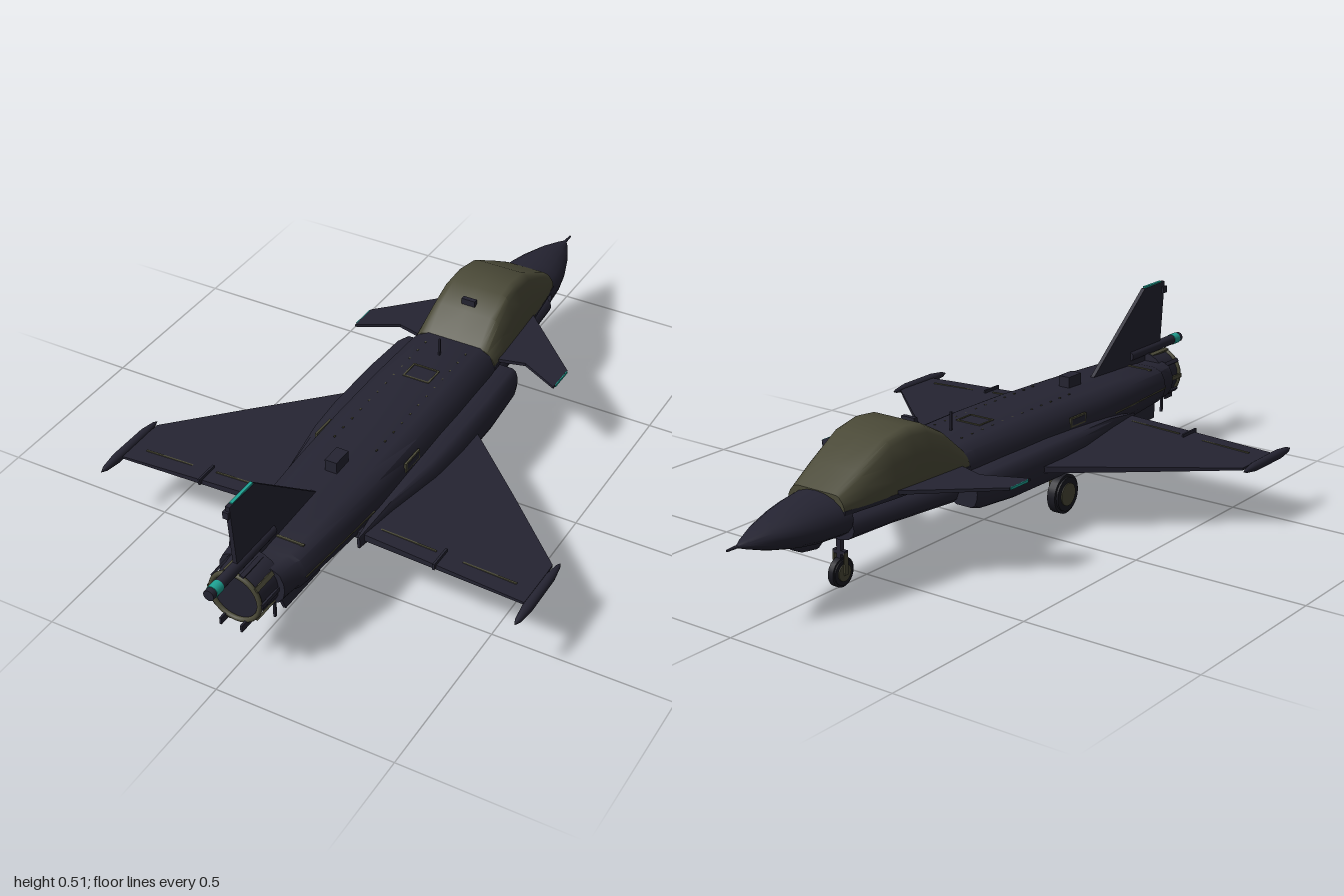
import * as THREE from 'three';
import { toCreasedNormals } from 'three/addons/utils/BufferGeometryUtils.js';

export function createModel() {
  const root = new THREE.Group();
  root.name = 'jetAircraft';
  const mat = (name, color) => {
    const m = new THREE.MeshStandardMaterial({ color });
    m.name = name;
    return m;
  };
  const navy = mat('dark navy', 0x252432);
  const olive = mat('olive', 0x4a4937);
  const teal = mat('teal', 0x1fa596);
  const tyreMat = mat('tyre black', 0x1b1b23);

  const add = (name, geo, material, x = 0, y = 0, z = 0) => {
    const mesh = new THREE.Mesh(geo, material);
    mesh.name = name;
    mesh.position.set(x, y, z);
    root.add(mesh);
    return mesh;
  };
  const box = (name, m, w, h, d, x, y, z) => add(name, new THREE.BoxGeometry(w, h, d), m, x, y, z);
  // cylinder along z; r0 is the forward radius, r1 the aft radius
  const rod = (name, m, r0, r1, z0, z1, x, y, open = false) =>
    add(name, new THREE.CylinderGeometry(r1, r0, z1 - z0, 20, 1, open).rotateX(Math.PI / 2), m, x, y, (z0 + z1) / 2);

  // half profiles (u of half width, v of height), bottom to top
  const bodyProfile = [[0, 0], [0.55, 0], [0.8, 0.09], [0.95, 0.28], [1, 0.5], [0.97, 0.7], [0.86, 0.9], [0.62, 1], [0, 1]];
  const roundProfile = Array.from({ length: 11 }, (_, i) => {
    const a = (i / 10) * Math.PI;
    return [Math.sin(a), 0.5 - Math.cos(a) / 2];
  });
  const canopyProfile = [[0, 0], [1, 0], [0.99, 0.25], [0.93, 0.55], [0.82, 0.86], [0.74, 0.96], [0.62, 1], [0, 1]];

  // capped loft through sections [z, halfWidth, yBottom, yTop]
  function loft(sections, profile, cx = 0) {
    const full = [...profile, ...profile.slice(1, -1).reverse().map(([u, v]) => [-u, v])];
    const rings = sections.map(([z, w, y0, y1]) => full.map(([u, v]) => [cx + u * w, y0 + v * (y1 - y0), z]));
    const n = full.length, pos = [];
    const tri = (...p) => p.forEach((q) => pos.push(...q));
    for (let i = 0; i + 1 < rings.length; i++) {
      for (let j = 0; j < n; j++) {
        const k = (j + 1) % n;
        tri(rings[i][j], rings[i][k], rings[i + 1][k]);
        tri(rings[i][j], rings[i + 1][k], rings[i + 1][j]);
      }
    }
    const last = rings.length - 1;
    const mid = (i) => [cx, (sections[i][2] + sections[i][3]) / 2, sections[i][0]];
    for (let j = 0; j < n; j++) {
      const k = (j + 1) % n;
      tri(mid(0), rings[0][k], rings[0][j]);
      tri(mid(last), rings[last][j], rings[last][k]);
    }
    const g = new THREE.BufferGeometry();
    g.setAttribute('position', new THREE.Float32BufferAttribute(pos, 3));
    return toCreasedNormals(g, 0.7);
  }

  // flat plate from an outline, thickness centred
  function plate(points, thickness) {
    const shape = new THREE.Shape(points.map(([a, b]) => new THREE.Vector2(a, b)));
    return new THREE.ExtrudeGeometry(shape, { depth: thickness, bevelEnabled: false }).translate(0, 0, -thickness / 2);
  }
  // horizontal surface: outline in (x, z), thinning and sloping outward by rule
  function surface(points, thickness, s, yAt, thinAt) {
    const g = plate(points.map(([x, z]) => [x * s, z]), thickness).rotateX(Math.PI / 2);
    const p = g.attributes.position;
    for (let i = 0; i < p.count; i++) {
      const x = Math.abs(p.getX(i));
      p.setY(i, p.getY(i) * thinAt(x) + yAt(x));
    }
    g.computeVertexNormals();
    return g;
  }
  // upright surface: outline in (z, y)
  const upright = (points, thickness) => plate(points.map(([z, y]) => [-z, y]), thickness).rotateY(Math.PI / 2);

  // fuselage: nose, low cockpit tub, then the main body
  add('nose', loft([[-0.965, 0.004, 0.218, 0.226], [-0.94, 0.02, 0.208, 0.234], [-0.88, 0.048, 0.187, 0.252],
    [-0.8, 0.076, 0.168, 0.268], [-0.74, 0.09, 0.16, 0.277], [-0.66, 0.1, 0.157, 0.285]], roundProfile), navy);
  add('cockpitTub', loft([[-0.66, 0.1, 0.157, 0.221], [-0.5, 0.11, 0.156, 0.221], [-0.26, 0.122, 0.142, 0.221]], bodyProfile), navy);
  add('fuselage', loft([[-0.27, 0.128, 0.142, 0.287], [-0.2, 0.135, 0.136, 0.297], [0, 0.14, 0.132, 0.299], [0.2, 0.14, 0.133, 0.297],
    [0.4, 0.136, 0.145, 0.29], [0.55, 0.128, 0.155, 0.285], [0.75, 0.113, 0.165, 0.277], [0.76, 0.104, 0.165, 0.275],
    [0.82, 0.095, 0.165, 0.275]], bodyProfile), navy);
  rod('pitotProbe', navy, 0.003, 0.005, -1, -0.95, 0, 0.222);
  add('chinSensor', loft([[-0.78, 0.01, 0.155, 0.18], [-0.75, 0.03, 0.14, 0.19], [-0.71, 0.035, 0.135, 0.19],
    [-0.66, 0.015, 0.155, 0.18]], roundProfile), navy);

  // canopy and its frame
  add('canopy', loft([[-0.685, 0.092, 0.246, 0.284], [-0.61, 0.105, 0.246, 0.328], [-0.51, 0.114, 0.246, 0.384], [-0.43, 0.119, 0.246, 0.398],
    [-0.37, 0.122, 0.246, 0.391], [-0.3, 0.126, 0.246, 0.353], [-0.23, 0.128, 0.246, 0.29]], canopyProfile), olive);
  add('canopyFrame', loft([[-0.685, 0.094, 0.236, 0.247], [-0.5, 0.116, 0.236, 0.247], [-0.23, 0.131, 0.236, 0.247]],
    [[0, 0], [1, 0], [1, 1], [0, 1]]), navy);
  box('seat', navy, 0.08, 0.03, 0.08, 0, 0.225, -0.42);
  box('canopyHandle', navy, 0.042, 0.018, 0.014, 0, 0.372, -0.32);

  // exhaust nozzle with olive rim and dark inner disc
  rod('nozzle', navy, 0.08, 0.07, 0.8, 0.89, 0, 0.22);
  add('nozzleRim', new THREE.TorusGeometry(0.07, 0.007, 8, 28), olive, 0, 0.22, 0.893);
  for (let i = 0; i < 10; i++) {
    const a = (i / 10) * Math.PI * 2;
    const rib = box('nozzleRib', i % 2 ? olive : navy, 0.012, 0.006, 0.09, Math.cos(a) * 0.077, 0.22 + Math.sin(a) * 0.077, 0.85);
    rib.rotation.z = a + Math.PI / 2;
  }

  // tail fin, teal tip and rear pod
  add('tailFin', upright([[0.5, 0.27], [0.53, 0.29], [0.79, 0.5], [0.9, 0.503], [0.885, 0.32], [0.86, 0.27]], 0.012), navy);
  box('finTip', teal, 0.009, 0.005, 0.09, 0, 0.503, 0.84);
  rod('finPod', navy, 0.015, 0.015, 0.72, 1, 0, 0.305);
  rod('finPodBand', teal, 0.0165, 0.0165, 0.957, 0.985, 0, 0.305);
  box('finSensor', navy, 0.016, 0.02, 0.02, -0.004, 0.478, 0.895);

  // spine details
  box('spineBox', navy, 0.035, 0.035, 0.06, 0, 0.305, 0.41);
  box('antenna', navy, 0.005, 0.055, 0.006, 0, 0.322, -0.145);
  box('tailBand', olive, 0.17, 0.004, 0.007, 0, 0.279, 0.71);
  for (const k of [-1, 1]) {
    box('hatchSide', olive, 0.005, 0.004, 0.06, k * 0.038, 0.299, -0.04);
    box('hatchEnd', olive, 0.08, 0.004, 0.005, 0, 0.299, -0.04 + k * 0.03);
    for (let i = 0; i < 12; i++) box('rivet', olive, 0.004, 0.003, 0.006, k * 0.063, 0.2975, -0.18 + i * 0.045);
  }

  const wheel = (name, r, w, x, z) => {
    add(name + 'Tyre', new THREE.CylinderGeometry(r * 0.86, r * 0.86, w, 24).rotateZ(Math.PI / 2), tyreMat, x, r, z);
    add(name + 'Tread', new THREE.CylinderGeometry(r, r, w * 0.7, 24).rotateZ(Math.PI / 2), tyreMat, x, r, z);
    add(name + 'Hub', new THREE.CylinderGeometry(r * 0.58, r * 0.58, w + 0.006, 20).rotateZ(Math.PI / 2), olive, x, r, z);
  };

  // paired parts
  for (const s of [-1, 1]) {
    const side = s > 0 ? 'left' : 'right';
    add(side + 'Intake', loft([[-0.27, 0.045, 0.15, 0.23], [-0.24, 0.054, 0.142, 0.235], [-0.1, 0.062, 0.132, 0.237], [0.1, 0.062, 0.13, 0.237],
      [0.22, 0.054, 0.135, 0.232], [0.4, 0.022, 0.15, 0.22], [0.54, 0.004, 0.165, 0.2]], bodyProfile, s * 0.138), navy);

    const wingY = (x) => 0.193 - 0.037 * x;
    add(side + 'Wing', surface([[0.1, -0.05], [0.2, 0.005], [0.4, 0.185], [0.6, 0.37], [0.605, 0.53], [0.1, 0.52]],
      0.022, s, wingY, (x) => 1.1 - 1.3 * x), navy);
    for (const [x, w] of [[0.25, 0.16], [0.48, 0.15]])
      box('flapLine', olive, w, 0.004, 0.005, s * x, wingY(x) + 0.011 * (1.1 - 1.3 * x), 0.48).rotation.z = -s * 0.037;
    box('wingFence', navy, 0.006, 0.018, 0.07, s * 0.35, 0.187, 0.5);
    const pod = [[0, -0.13], [0.006, -0.115], [0.013, -0.07], [0.014, 0.06], [0.008, 0.11], [0, 0.13]];
    add(side + 'WingtipPod', new THREE.LatheGeometry(pod.map(([r, t]) => new THREE.Vector2(r, t)), 16).rotateX(Math.PI / 2),
      navy, s * 0.613, 0.17, 0.48);

    add(side + 'Canard', surface([[0.09, -0.53], [0.115, -0.505], [0.315, -0.31], [0.315, -0.22], [0.2, -0.28], [0.09, -0.25]],
      0.012, s, (x) => 0.251 - 0.014 * x, (x) => 1.1 - 1.6 * x), navy);
    box('canardTip', teal, 0.005, 0.007, 0.075, s * 0.315, 0.2466, -0.268);

    const ventral = add(side + 'VentralFin', upright([[0.53, 0.175], [0.61, 0.11], [0.77, 0.112], [0.79, 0.18]], 0.009), navy, s * 0.075);
    ventral.rotation.z = s * 0.15;

    // side panels and trim
    box('sidePanel', olive, 0.006, 0.028, 0.075, s * 0.135, 0.25, 0.255);
    box('sidePanelInset', navy, 0.008, 0.018, 0.062, s * 0.135, 0.25, 0.255);
    box('sideTrim', olive, 0.005, 0.004, 0.3, s * 0.123, 0.22, 0.6).rotation.y = -s * 0.07;
    box('tailProbe', navy, 0.006, 0.05, 0.008, s * 0.06, 0.145, 0.815);
    box('tailProbeAft', navy, 0.006, 0.02, 0.04, s * 0.03, 0.148, 0.9);

    // main landing gear
    wheel(side + 'Main', 0.057, 0.036, s * 0.14, 0.178);
    box(side + 'MainStrut', olive, 0.012, 0.1, 0.024, s * 0.113, 0.1, 0.17);
    box(side + 'GearDoor', navy, 0.006, 0.05, 0.11, s * 0.1, 0.12, 0.17);
  }

  // nose landing gear
  wheel('nose', 0.04, 0.024, 0, -0.6);
  box('noseStrut', navy, 0.014, 0.09, 0.014, 0, 0.12, -0.6);
  for (const s of [-1, 1]) box('noseFork', olive, 0.004, 0.06, 0.014, s * 0.018, 0.065, -0.6);
  box('noseForkBridge', navy, 0.04, 0.01, 0.014, 0, 0.095, -0.6);

  return root;
}
